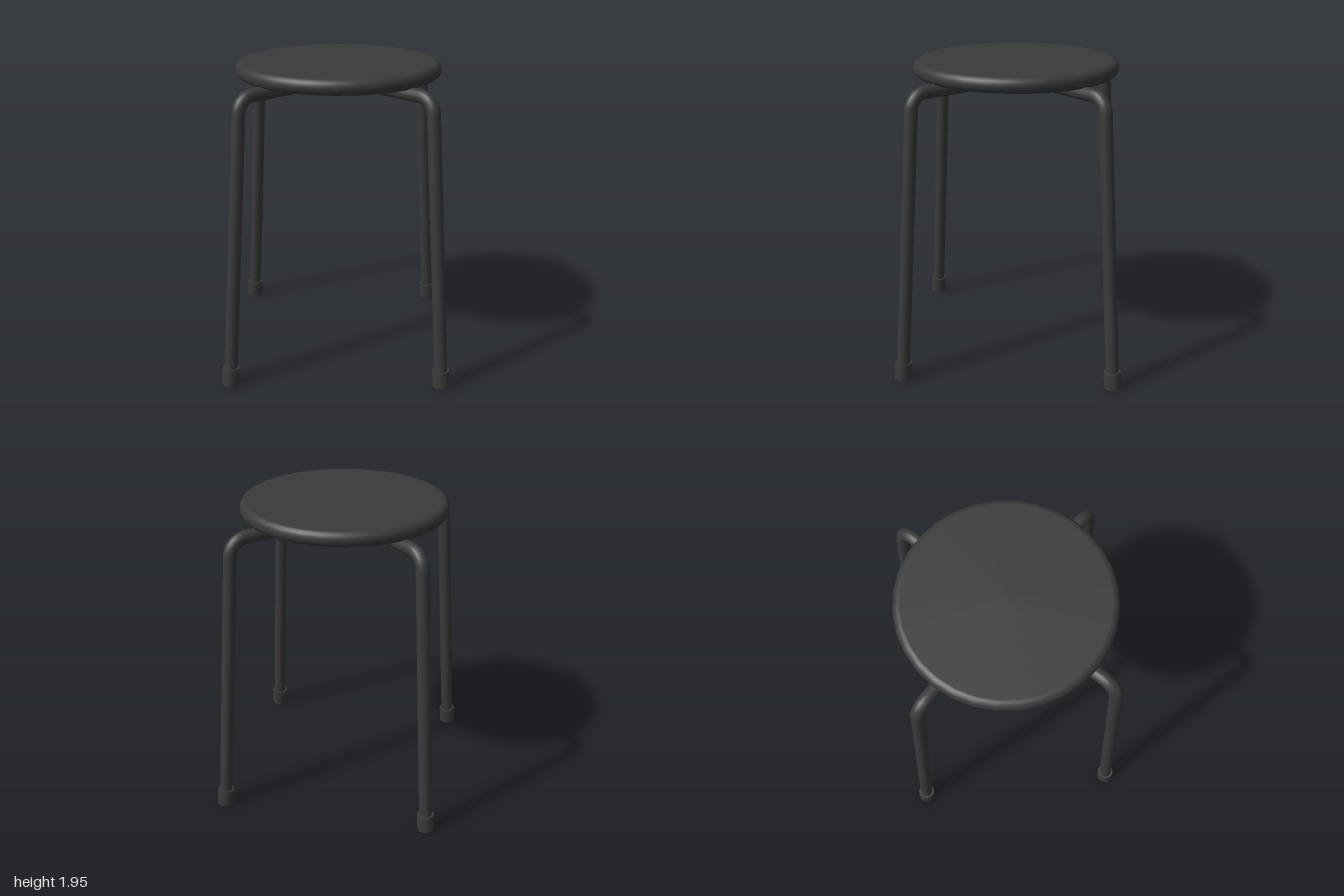
import * as THREE from 'three';

const material = new THREE.MeshStandardMaterial({ color: 0x3a3a3a });

function addMesh(parent, name, geometry) {
  const mesh = new THREE.Mesh(geometry, material);
  mesh.name = name;
  parent.add(mesh);
  return mesh;
}

// Flat disc with a fully rounded rim
function seatGeometry() {
  const radius = 0.65, bottom = 1.853, top = 1.949;
  const r = (top - bottom) / 2, inset = 0.042;
  const rim = [];
  for (let i = 0; i <= 10; i++) {
    const a = -Math.PI / 2 + (Math.PI * i) / 10;
    rim.push(new THREE.Vector2(radius - inset + inset * Math.cos(a), bottom + r + r * Math.sin(a)));
  }
  // Doubled points keep the flat faces shaded flat
  const first = rim[0], last = rim[rim.length - 1];
  const profile = [
    new THREE.Vector2(0, bottom), new THREE.Vector2(first.x - 0.002, bottom), ...rim,
    new THREE.Vector2(last.x - 0.002, top), new THREE.Vector2(0, top),
  ];
  return new THREE.LatheGeometry(profile, 32);
}

// One leg in the x-y plane, running outwards along +x
function createLeg() {
  const leg = new THREE.Group();
  const tubeRadius = 0.041, railY = 1.827;
  const corner = new THREE.Vector3(0.794, railY, 0);
  const down = new THREE.Vector3(0.944 - corner.x, 0.005 - railY, 0).normalize();
  const floorEnd = new THREE.Vector3(0.944, 0.005, 0);
  const railStart = new THREE.Vector3(0.38, railY, 0);

  // Rail under the seat, circular bend, then the splayed leg
  const turn = Math.acos(down.x), bendRadius = 0.1;
  const tangent = bendRadius * Math.tan(turn / 2);
  const bendStart = new THREE.Vector3(corner.x - tangent, railY, 0);
  const centre = new THREE.Vector3(bendStart.x, railY - bendRadius, 0);
  const bendEnd = corner.clone().addScaledVector(down, tangent);
  const bend = [];
  for (let i = 0; i <= 12; i++) {
    const a = Math.PI / 2 - (turn * i) / 12;
    bend.push(new THREE.Vector3(centre.x + bendRadius * Math.cos(a), centre.y + bendRadius * Math.sin(a), 0));
  }
  const path = new THREE.CurvePath();
  path.add(new THREE.LineCurve3(railStart, bendStart));
  path.add(new THREE.CatmullRomCurve3(bend));
  path.add(new THREE.LineCurve3(bendEnd, floorEnd.clone().addScaledVector(down, -0.03)));
  addMesh(leg, 'legTube', new THREE.TubeGeometry(path, 90, tubeRadius, 16));

  // Closed inner end of the rail
  const cap = addMesh(leg, 'railEnd', new THREE.CircleGeometry(tubeRadius, 16));
  cap.position.copy(railStart);
  cap.rotation.y = -Math.PI / 2;

  // Foot sleeve, aligned with the splayed leg
  const footLength = 0.11;
  const foot = addMesh(leg, 'footCap', new THREE.CylinderGeometry(0.054, 0.054, footLength, 16));
  foot.position.copy(floorEnd).addScaledVector(down, -footLength / 2);
  foot.quaternion.setFromUnitVectors(new THREE.Vector3(0, -1, 0), down);
  return leg;
}

export function createModel() {
  const stool = new THREE.Group();
  stool.name = 'stool';
  addMesh(stool, 'seat', seatGeometry());
  ['leftLeg', 'backLeg', 'rightLeg', 'frontLeg'].forEach((name, i) => {
    const leg = createLeg();
    leg.name = name;
    leg.rotation.y = (i * Math.PI) / 2;
    stool.add(leg);
  });
  return stool;
}
